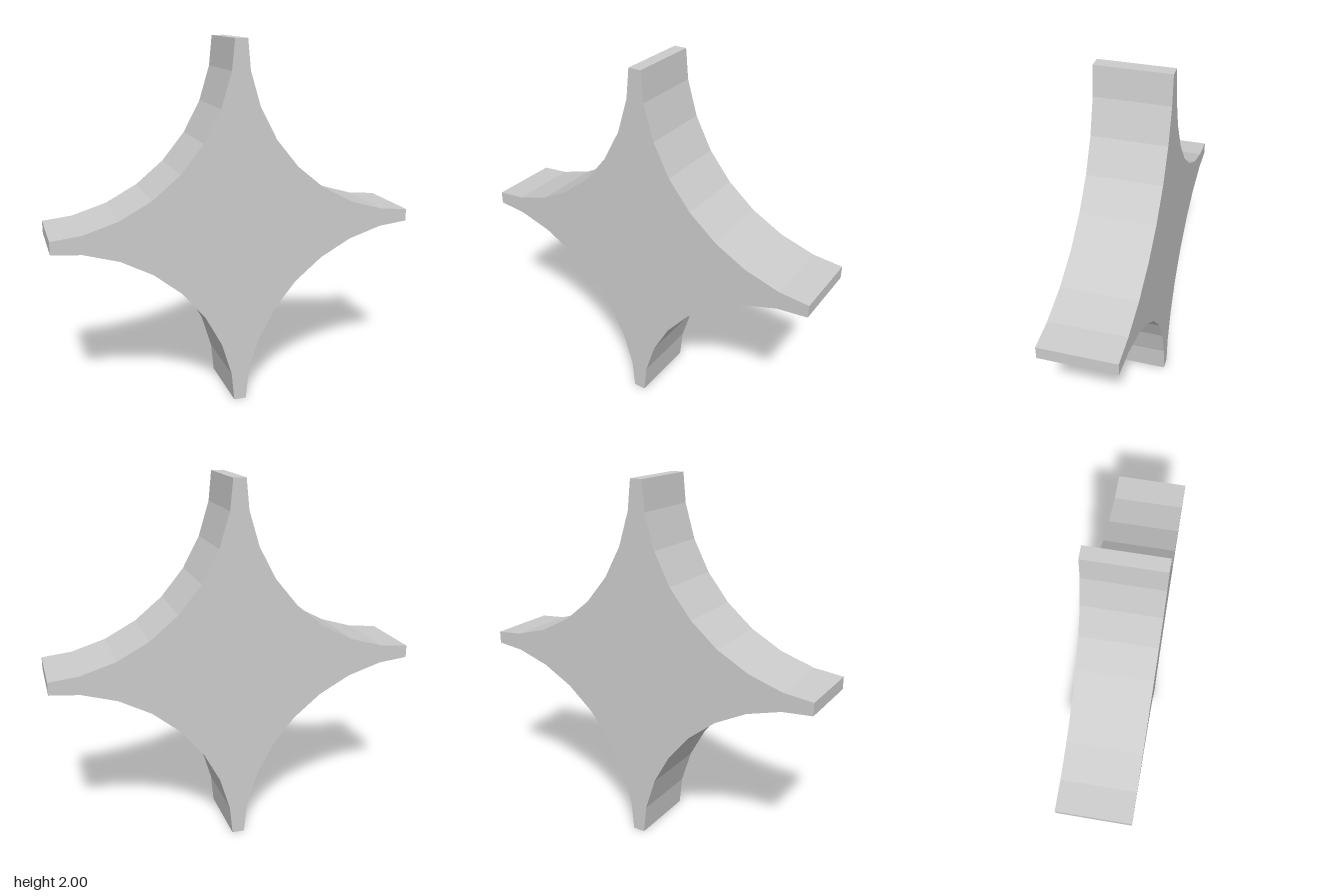
import * as THREE from 'three';

const CENTRE = 1.035; // offset of each scooped circle
const RADIUS = 1.004;
const STEP = Math.PI / 16; // 32-sided circle
const TIP = 0.0345; // half thickness of each point's blunt tip
const DEPTH = 0.4;

// One concave side, from the +x tip to the +y tip
function concaveSide() {
  const points = [new THREE.Vector2(1, TIP)];
  for (let i = 1; i <= 7; i++) {
    points.push(new THREE.Vector2(
      CENTRE - RADIUS * Math.sin(i * STEP),
      CENTRE - RADIUS * Math.cos(i * STEP)
    ));
  }
  points.push(new THREE.Vector2(TIP, 1));
  return points;
}

export function createModel() {
  const group = new THREE.Group();
  group.name = 'fourPointedStar';

  // Outline: the concave side repeated by quarter turns
  const outline = [];
  const origin = new THREE.Vector2();
  for (let q = 0; q < 4; q++) {
    for (const p of concaveSide()) outline.push(p.rotateAround(origin, q * Math.PI / 2));
  }

  // Thick faceted star plate
  const geometry = new THREE.ExtrudeGeometry(new THREE.Shape(outline), {
    depth: DEPTH, bevelEnabled: false, steps: 1
  });
  geometry.translate(0, 1, -DEPTH / 2);
  const star = new THREE.Mesh(
    geometry,
    new THREE.MeshStandardMaterial({ color: 0xcccccc, flatShading: true })
  );
  star.name = 'starPlate';
  group.add(star);
  return group;
}
